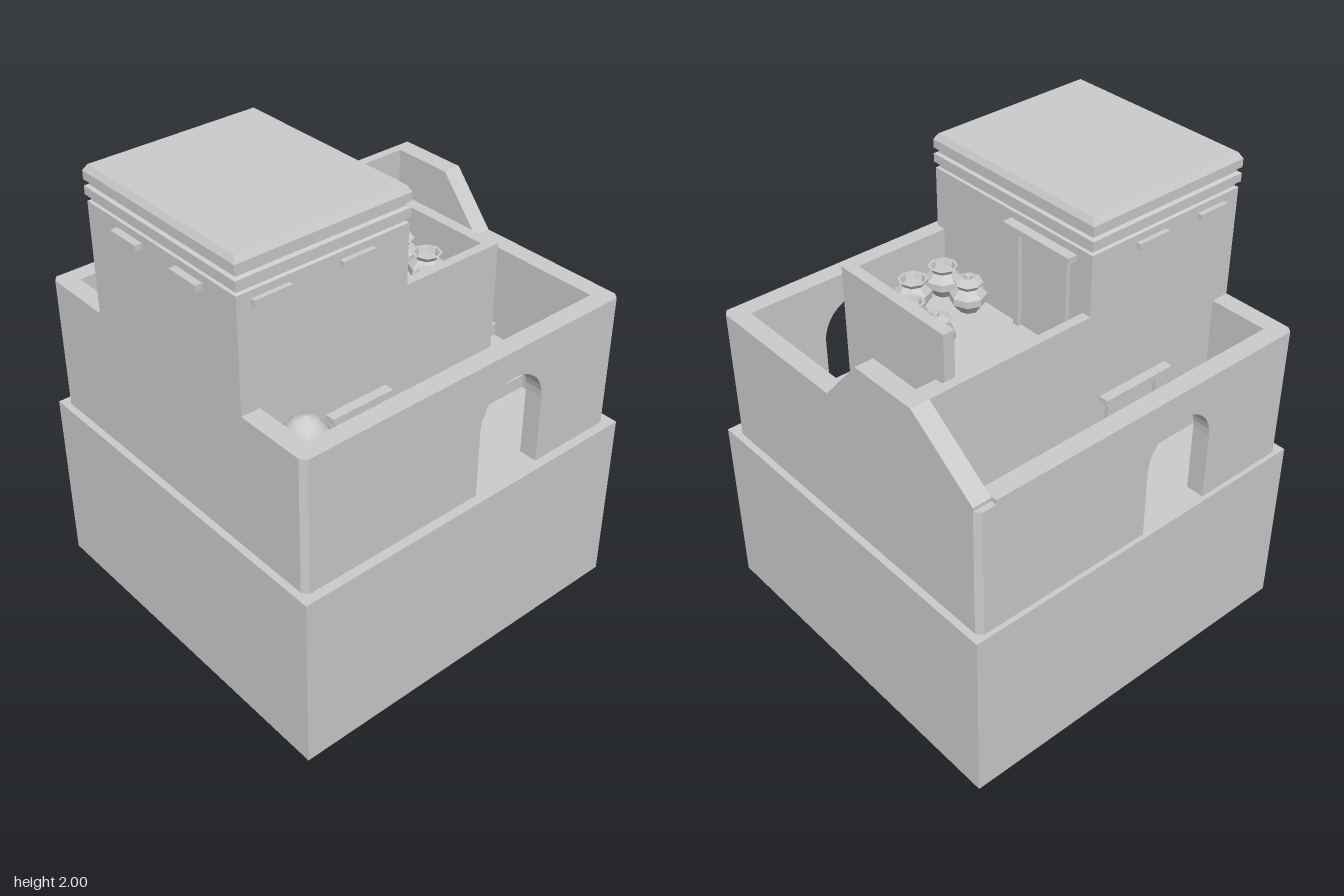
import * as THREE from 'three';

export function createModel() {
  const model = new THREE.Group();
  model.name = 'courtyardHouse';
  const plaster = new THREE.MeshStandardMaterial({ color: 0xcccccc });
  plaster.name = 'plaster';
  const GROUND = 0.79, TERRACE = 1.38;

  const add = (name, geometry, parent = model) => {
    const mesh = new THREE.Mesh(geometry, plaster);
    mesh.name = name;
    parent.add(mesh);
    return mesh;
  };
  // Box given by its extents
  const box = (name, x0, x1, y0, y1, z0, z1, parent) => {
    const g = new THREE.BoxGeometry(x1 - x0, y1 - y0, z1 - z0);
    g.translate((x0 + x1) / 2, (y0 + y1) / 2, (z0 + z1) / 2);
    return add(name, g, parent);
  };
  const shapeOf = (pts) => new THREE.Shape(pts.map(([x, y]) => new THREE.Vector2(x, y)));
  const extrude = (shape, depth) =>
    new THREE.ExtrudeGeometry(shape, { depth, bevelEnabled: false, curveSegments: 8 });
  const lathe = (pts, sides, flat) => {
    let g = new THREE.LatheGeometry(pts.map(([r, y]) => new THREE.Vector2(r, y)), sides);
    if (flat) {
      g = g.toNonIndexed();
      g.computeVertexNormals();
    }
    return g;
  };

  // Foundation block
  box('foundation', -0.82, 0.82, 0, GROUND, -0.8, 0.8);

  // Front and back walls, each with an arched gateway
  const archWall = (name, cx, z0, z1) => {
    const shape = shapeOf([
      [-0.71, GROUND], [cx - 0.165, GROUND], [cx - 0.165, 1.095],
    ]);
    shape.absarc(cx, 1.095, 0.165, Math.PI, 0, true);
    shape.lineTo(cx + 0.165, GROUND);
    shape.lineTo(0.71, GROUND);
    shape.lineTo(0.71, TERRACE);
    shape.lineTo(-0.71, TERRACE);
    const g = extrude(shape, z1 - z0);
    g.translate(0, 0, z0);
    add(name, g);
  };
  archWall('frontWall', 0.215, 0.68, 0.76);
  archWall('backWall', -0.185, -0.78, -0.7);

  // Side walls; the left one rises beside the stairs
  const sideWall = (name, outerX, pts) => {
    const g = extrude(shapeOf(pts), 0.08);
    g.rotateY(-Math.PI / 2);
    g.translate(outerX, 0, 0);
    add(name, g);
  };
  sideWall('rightWall', -0.71, [[0.68, GROUND], [0.68, TERRACE], [-0.7, TERRACE], [-0.7, GROUND]]);
  sideWall('leftWall', 0.79, [
    [0.68, GROUND], [0.68, TERRACE], [0.06, TERRACE], [-0.13, 1.6],
    [-0.44, 1.6], [-0.755, 1.375], [-0.755, GROUND],
  ]);

  // Corner posts with a chamfered outer edge
  for (const sx of [-1, 1]) {
    for (const [inner, outer] of [[0.68, 0.76], [-0.7, -0.78]]) {
      const sz = Math.sign(outer);
      const top = sx > 0 && sz < 0 ? 1.36 : TERRACE;
      const g = extrude(shapeOf([
        [sx * 0.71, -inner], [sx * 0.79, -inner], [sx * 0.79, -(outer - sz * 0.025)],
        [sx * 0.77, -outer], [sx * 0.71, -outer],
      ]), top - GROUND);
      g.rotateX(-Math.PI / 2);
      g.translate(0, GROUND, 0);
      add('cornerPost', g);
    }
  }

  // Tower with banded cornice and tapered roof slab
  const tower = new THREE.Group();
  tower.name = 'tower';
  model.add(tower);
  const towerGeo = lathe([
    [1, GROUND], [1, 1.855], [0.975, 1.86], [0.975, 1.875], [1.012, 1.88],
    [1.012, 1.915], [0.975, 1.92], [0.975, 1.935], [1.012, 1.94],
    [1.012, 1.975], [0.975, 2], [0, 2],
  ].map(([r, y]) => [r * Math.SQRT2, y]), 4, true);
  towerGeo.rotateY(Math.PI / 4);
  towerGeo.scale(0.38, 1, 0.435);
  towerGeo.translate(-0.41, 0, -0.003);
  towerGeo.computeVertexNormals();
  add('towerBody', towerGeo, tower);

  // Window ledges high on the tower
  for (const [x0, x1] of [[-0.73, -0.57], [-0.35, -0.2]]) {
    box('frontLedge', x0, x1, 1.8, 1.825, 0.42, 0.452, tower);
  }
  for (const [x0, x1] of [[-0.71, -0.57], [-0.4, -0.25]]) {
    box('backLedge', x0, x1, 1.8, 1.825, -0.459, -0.42, tower);
  }
  for (const [z0, z1] of [[0.1, 0.25], [-0.25, -0.1]]) {
    box('sideLedge', -0.82, -0.78, 1.8, 1.825, z0, z1, tower);
  }

  // Doorways: lintel on two posts, built facing +z then turned
  const doorway = (name, width, height, x, y, z, turn) => {
    const door = new THREE.Group();
    door.name = name;
    const w = width / 2;
    box('lintel', -w, w, height - 0.025, height, -0.01, 0.042, door);
    for (const s of [-1, 1]) {
      const c = s * (w - 0.045);
      box('doorPost', c - 0.013, c + 0.013, 0, height - 0.025, -0.01, 0.018, door);
    }
    door.position.set(x, y, z);
    door.rotation.y = turn;
    tower.add(door);
  };
  doorway('terraceDoor', 0.35, 0.445, -0.03, TERRACE, -0.185, Math.PI / 2);
  doorway('frontDoor', 0.29, 0.42, -0.27, GROUND, 0.432, 0);
  doorway('backDoor', 0.35, 0.42, -0.275, GROUND, -0.438, Math.PI);

  // Raised terrace, stair landing and parapets
  box('terrace', -0.03, 0.44, GROUND, TERRACE, -0.44, 0.43);
  box('landing', 0.44, 0.71, GROUND, TERRACE, -0.44, -0.13);
  box('frontParapet', -0.03, 0.44, TERRACE, 1.6, 0.39, 0.43);
  box('sideParapet', 0.39, 0.44, TERRACE, 1.6, -0.18, 0.39);
  box('backParapet', -0.03, 0.71, TERRACE, 1.6, -0.44, -0.4);

  // Stairs climbing towards the back
  const STEPS = 9, run = 0.51 / STEPS, rise = (TERRACE - GROUND) / (STEPS + 1);
  for (let i = 0; i < STEPS; i++) {
    const z1 = 0.38 - i * run;
    box('step', 0.44, 0.71, GROUND, GROUND + (i + 1) * rise, z1 - run, z1);
  }

  // Eight-sided jars, some with a knobbed lid
  const jar = (x, y, z, lidded) => {
    const pts = [[0, 0], [0.04, 0], [0.075, 0.045], [0.075, 0.075], [0.045, 0.105], [0.06, 0.125]];
    pts.push(...(lidded
      ? [[0.055, 0.132], [0.016, 0.14], [0.014, 0.155], [0, 0.155]]
      : [[0.05, 0.125], [0.042, 0.1], [0, 0.1]]));
    add(lidded ? 'liddedJar' : 'openJar', lathe(pts, 8, true)).position.set(x, y, z);
  };
  jar(0.05, TERRACE, 0.15, true);
  jar(0.31, TERRACE, 0.03, true);
  jar(0.31, TERRACE, 0.185, false);
  jar(0.05, TERRACE, 0.305, false);
  jar(0.2, TERRACE, 0.305, false);
  jar(-0.43, GROUND, 0.59, true);

  // Tall domed store in the front courtyard
  const dome = [[0.13, 0], [0.135, 0.3]];
  for (let i = 1; i <= 5; i++) {
    const a = (i / 5) * Math.PI / 2;
    dome.push([0.135 * Math.cos(a), 0.3 + 0.28 * Math.sin(a)]);
  }
  add('domedStore', lathe(dome, 10, false)).position.set(-0.61, GROUND, 0.555);

  return model;
}
